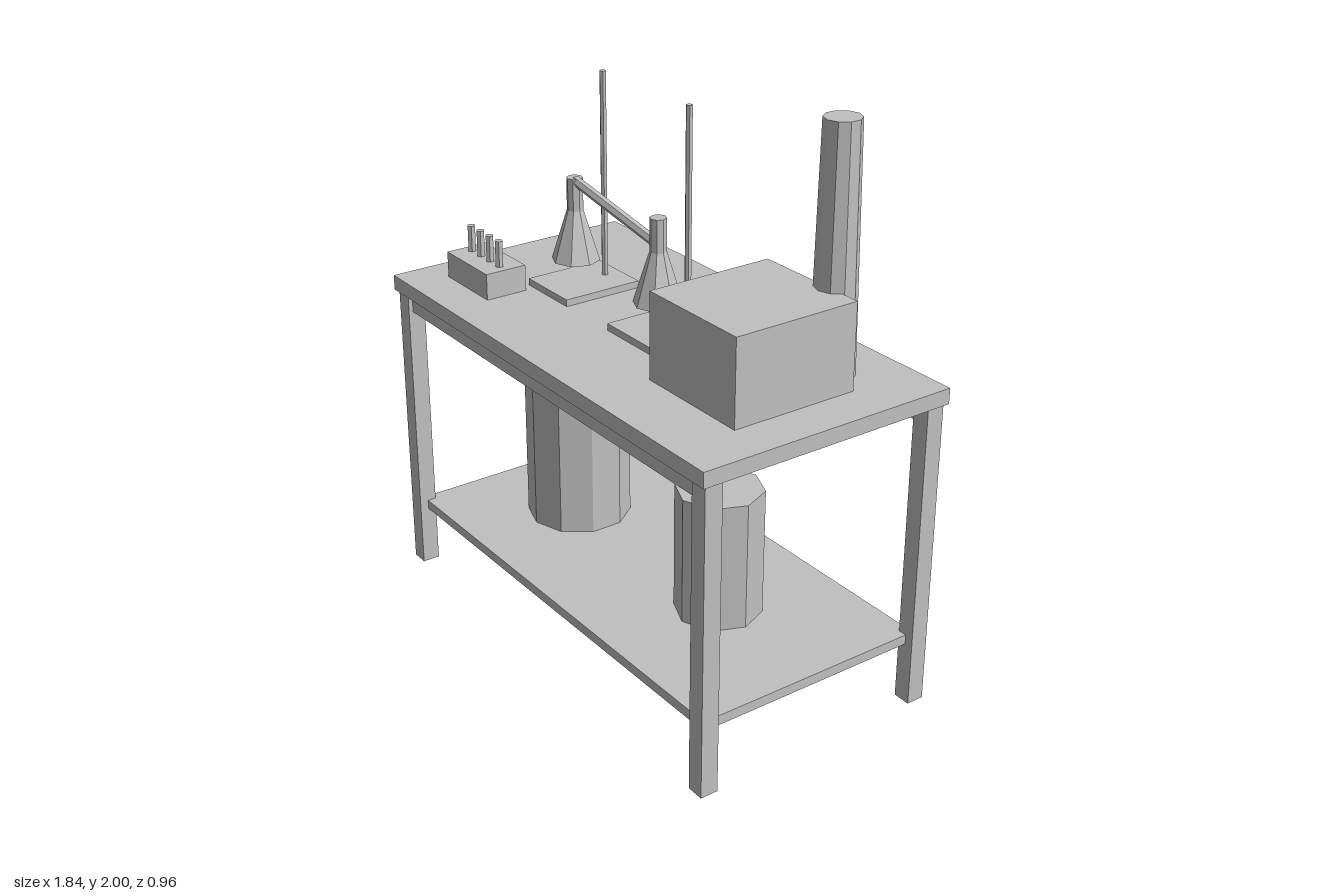
import * as THREE from 'three';

export function createModel() {
  const model = new THREE.Group();
  model.name = 'laboratoryBench';
  const grey = new THREE.MeshStandardMaterial({ color: 0xc0c0c0, flatShading: true });
  grey.name = 'plain grey';

  const add = (name, geometry, parent = model) => {
    const mesh = new THREE.Mesh(geometry, grey);
    mesh.name = name;
    parent.add(mesh);
    return mesh;
  };
  // Box given by its lower and upper limits on each axis
  const box = (name, [x0, x1], [y0, y1], [z0, z1], parent) =>
    add(name, new THREE.BoxGeometry(x1 - x0, y1 - y0, z1 - z0), parent)
      .position.set((x0 + x1) / 2, (y0 + y1) / 2, (z0 + z1) / 2);
  // Upright cylinder from y0 to y1
  const post = (name, x, z, y0, y1, rBottom, rTop, sides, parent) =>
    add(name, new THREE.CylinderGeometry(rTop, rBottom, y1 - y0, sides), parent)
      .position.set(x, (y0 + y1) / 2, z);

  const deck = 1.155;
  const shelfTop = 0.255;

  // Table
  box('tableTop', [-0.922, 0.922], [1.1, deck], [-0.48, 0.48]);
  box('shelf', [-0.88, 0.88], [0.22, shelfTop], [-0.434, 0.434]);
  for (const z of [-0.434, 0.434]) {
    box('apron', [-0.88, 0.88], [1.03, 1.1], [z - 0.016, z + 0.016]);
    for (const x of [-0.88, 0.88]) {
      box('leg', [x - 0.032, x + 0.032], [0, 1.1], [z - 0.032, z + 0.032]);
    }
  }

  // Drums on the shelf
  post('largeDrum', -0.47, 0, shelfTop, 0.797, 0.19, 0.19, 10);
  post('smallDrum', 0.382, 0, shelfTop, 0.717, 0.152, 0.152, 8);

  // Two retort stands, each holding a flask
  for (const x of [-0.44, 0.052]) {
    const stand = new THREE.Group();
    stand.name = 'retortStand';
    model.add(stand);
    box('standBase', [x - 0.122, x + 0.122], [deck, 1.18], [-0.167, 0.135], stand);
    post('standRod', x, -0.107, deck, 1.92, 0.012, 0.012, 6, stand);
    post('flaskBody', x, 0.014, 1.267, 1.465, 0.086, 0.024, 8, stand);
    post('flaskNeck', x, 0.014, 1.415, 1.565, 0.029, 0.029, 8, stand);
  }

  // Sloping tube joining the flasks
  const from = new THREE.Vector3(-0.435, 1.554, 0.014);
  const to = new THREE.Vector3(0.055, 1.471, 0.014);
  const along = to.clone().sub(from);
  const tube = add('connectingTube', new THREE.CylinderGeometry(0.018, 0.018, along.length(), 6));
  tube.position.copy(from).add(to).multiplyScalar(0.5);
  tube.quaternion.setFromUnitVectors(new THREE.Vector3(0, 1, 0), along.normalize());

  // Test tube rack
  box('rack', [-0.796, -0.526], [deck, 1.25], [0.17, 0.327]);
  for (let i = 0; i < 4; i++) {
    post('testTube', -0.756 + i * 0.062, 0.248, 1.2, 1.345, 0.015, 0.015, 6);
  }

  // Furnace with its flue
  box('furnace', [0.328, 0.763], [deck, 1.457], [-0.22, 0.246]);
  post('flue', 0.629, -0.247, deck, 2, 0.076, 0.062, 10);

  return model;
}
